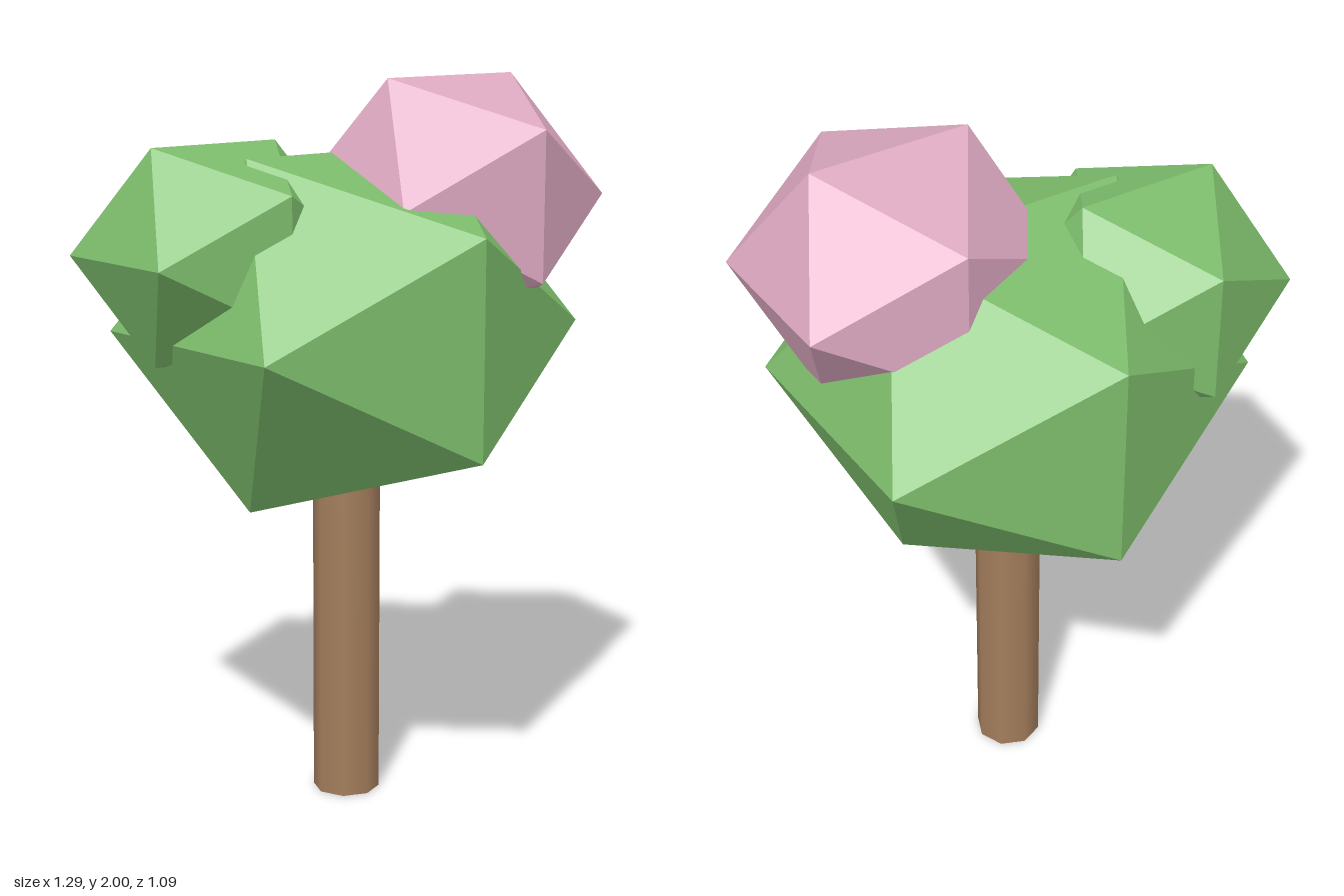
import * as THREE from 'three';

export function createModel() {
  const group = new THREE.Group();
  const leafGreen = new THREE.MeshStandardMaterial({ color: 0x7cbb6b, flatShading: true });
  leafGreen.name = 'leafGreen';
  const blossomPink = new THREE.MeshStandardMaterial({ color: 0xdca8c0, flatShading: true });
  blossomPink.name = 'blossomPink';
  const barkBrown = new THREE.MeshStandardMaterial({ color: 0xa47e5c });
  barkBrown.name = 'barkBrown';

  // Trunk, its top hidden inside the main crown
  const trunkHeight = 1.0;
  const trunk = new THREE.Mesh(new THREE.CylinderGeometry(0.093, 0.093, trunkHeight, 8), barkBrown);
  trunk.name = 'trunk';
  trunk.position.set(0.023, trunkHeight / 2, 0);
  group.add(trunk);

  // Foliage clumps: slightly flattened icosahedra
  const addClump = (name, material, radius, squash, x, y, z) => {
    const geometry = new THREE.IcosahedronGeometry(radius, 0).scale(1, squash, 1);
    geometry.computeVertexNormals();
    const clump = new THREE.Mesh(geometry, material);
    clump.name = name;
    clump.position.set(x, y, z);
    group.add(clump);
  };
  addClump('mainCrown', leafGreen, 0.64, 0.865, 0.023, 1.332, 0);
  addClump('rightCrown', leafGreen, 0.383, 0.88, -0.32, 1.547, -0.13);
  addClump('blossomCrown', blossomPink, 0.427, 0.89, 0.28, 1.677, 0.128);

  return group;
}
